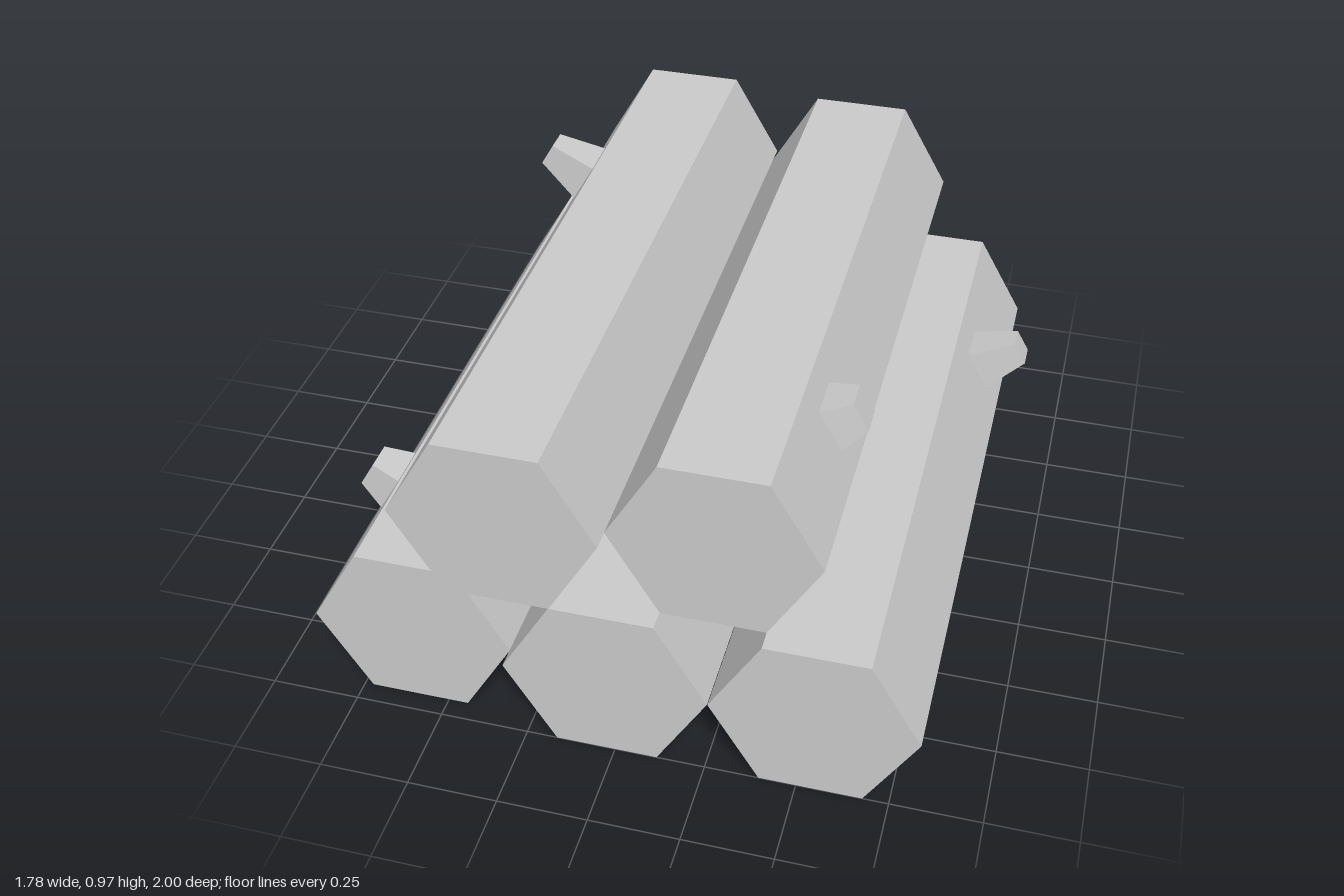
import * as THREE from 'three';

const R = 0.281;                     // log radius (corner to centre)
const H = R * Math.sqrt(3) / 2;      // centre to flat side

export function createModel() {
  const group = new THREE.Group();
  const material = new THREE.MeshStandardMaterial({ color: 0xcccccc, flatShading: true });

  // Hexagonal log lying along z, optionally with a cut branch on its upper outer face
  function addLog(name, x, row, length, branch) {
    const log = new THREE.Group();
    log.name = name;
    log.position.set(x, H * (1 + 2 * row), 0);

    const trunkGeometry = new THREE.CylinderGeometry(R, R, length, 6, 1, false, Math.PI / 2);
    trunkGeometry.rotateX(Math.PI / 2);
    const trunk = new THREE.Mesh(trunkGeometry, material);
    trunk.name = 'trunk';
    log.add(trunk);

    if (branch) {
      const { side, z, long, base, tip } = branch;
      // Square tapered stub, standing straight out of the slanted face
      const geometry = new THREE.CylinderGeometry(
        tip / Math.SQRT2, base / Math.SQRT2, long, 4, 1, false, Math.PI / 4);
      geometry.translate(0, H + long / 2, 0);
      geometry.rotateZ(-side * Math.PI / 3);
      const stub = new THREE.Mesh(geometry, material);
      stub.name = 'branchStub';
      stub.position.z = z;
      log.add(stub);
    }
    group.add(log);
  }

  const shortStub = { z: 0.49, long: 0.085, base: 0.13, tip: 0.087 };
  const longStub = { z: -0.515, long: 0.14, base: 0.13, tip: 0.075 };

  // Bottom row
  addLog('bottomRightLog', -0.585, 0, 1.885, { side: -1, ...shortStub });
  addLog('bottomMiddleLog', -0.024, 0, 2);
  addLog('bottomLeftLog', 0.539, 0, 2, { side: 1, ...longStub });
  // Top row, resting in the gaps
  addLog('topRightLog', -0.304, 1, 2, { side: -1, ...longStub });
  addLog('topLeftLog', 0.258, 1, 1.885, { side: 1, ...shortStub });

  return group;
}
